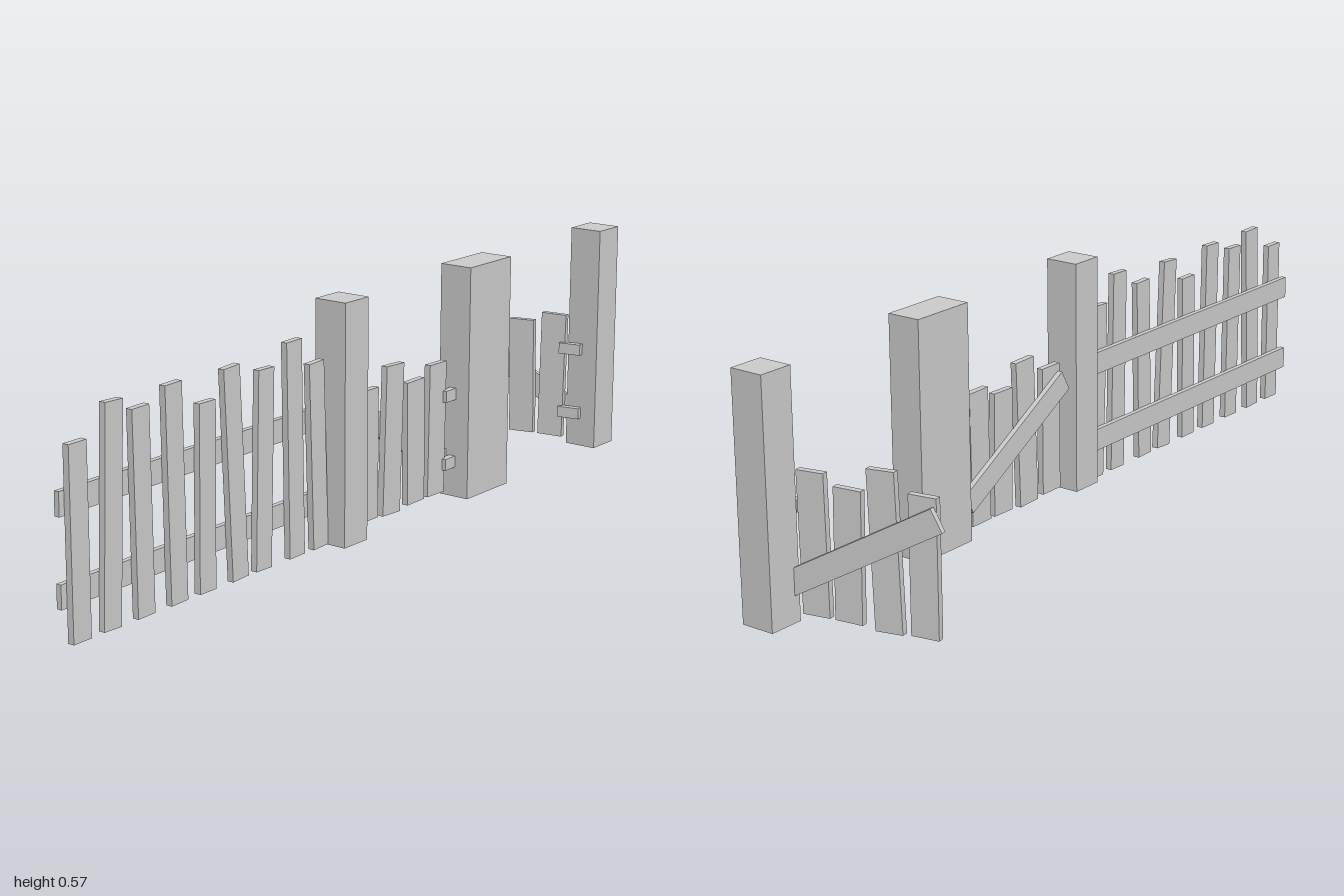
import * as THREE from 'three';

const material = new THREE.MeshStandardMaterial({ color: 0xcccccc, flatShading: true });

// Axis-aligned box between two corners
function block(name, x0, x1, y0, y1, z0, z1) {
  const mesh = new THREE.Mesh(new THREE.BoxGeometry(x1 - x0, y1 - y0, z1 - z0), material);
  mesh.name = name;
  mesh.position.set((x0 + x1) / 2, (y0 + y1) / 2, (z0 + z1) / 2);
  return mesh;
}

// Flat board running between two points of the xy plane
function board(name, xa, ya, xb, yb, width, z0, z1) {
  const length = Math.hypot(xb - xa, yb - ya);
  const mesh = new THREE.Mesh(new THREE.BoxGeometry(width, length, z1 - z0), material);
  mesh.name = name;
  mesh.position.set((xa + xb) / 2, (ya + yb) / 2, (z0 + z1) / 2);
  mesh.rotation.z = Math.atan2(xa - xb, yb - ya);
  return mesh;
}

// Gate leaf, with its hinge edge at the local origin, extending to -x
function createGate(name) {
  const gate = new THREE.Group();
  gate.name = name;
  // bottom x, top x, bottom y, top y
  const pickets = [
    [-0.33, -0.33, 0.022, 0.336],
    [-0.243, -0.231, 0.017, 0.376],
    [-0.145, -0.15, 0.022, 0.322],
    [-0.065, -0.06, 0.022, 0.346],
  ];
  for (const [xa, xb, ya, yb] of pickets) {
    gate.add(board('gatePicket', xa, ya, xb, yb, 0.067, -0.008, 0.008));
  }
  gate.add(board('gateBrace', -0.005, 0.088, -0.37, 0.293, 0.056, -0.021, -0.008));
  for (const y of [0.077, 0.246]) {
    gate.add(block('hinge', -0.04, 0.018, y, y + 0.028, 0, 0.018));
  }
  return gate;
}

export function createModel() {
  const model = new THREE.Group();
  model.name = 'fenceWithGates';

  // Posts: the middle one is twice as wide
  for (const [x0, x1] of [[-0.145, -0.06], [0.34, 0.51], [0.913, 1]]) {
    model.add(block('post', x0, x1, 0.003, 0.573, 0.138, 0.223));
  }

  // Fence panel: two rails and nine uneven pickets
  const panel = new THREE.Group();
  panel.name = 'fencePanel';
  for (const y of [0.08, 0.276]) {
    panel.add(block('rail', -1, -0.12, y, y + 0.054, 0.147, 0.16));
  }
  // bottom x, top x, top y
  const pickets = [
    [-0.957, -0.959, 0.427], [-0.866, -0.85, 0.49], [-0.762, -0.771, 0.46],
    [-0.657, -0.669, 0.489], [-0.565, -0.561, 0.427], [-0.455, -0.481, 0.487],
    [-0.375, -0.364, 0.46], [-0.257, -0.268, 0.504], [-0.171, -0.188, 0.44],
  ];
  for (const [xa, xb, top] of pickets) {
    panel.add(board('picket', xa, 0.004, xb, top, 0.053, 0.16, 0.176));
  }
  model.add(panel);

  // Closed gate beside the wide post, and a matching one swung open
  const closedGate = createGate('closedGate');
  closedGate.position.set(0.34, 0, 0.168);
  const openGate = createGate('openGate');
  openGate.position.set(0.911, 0, 0.162);
  openGate.rotation.y = THREE.MathUtils.degToRad(-80);
  model.add(closedGate, openGate);

  return model;
}
